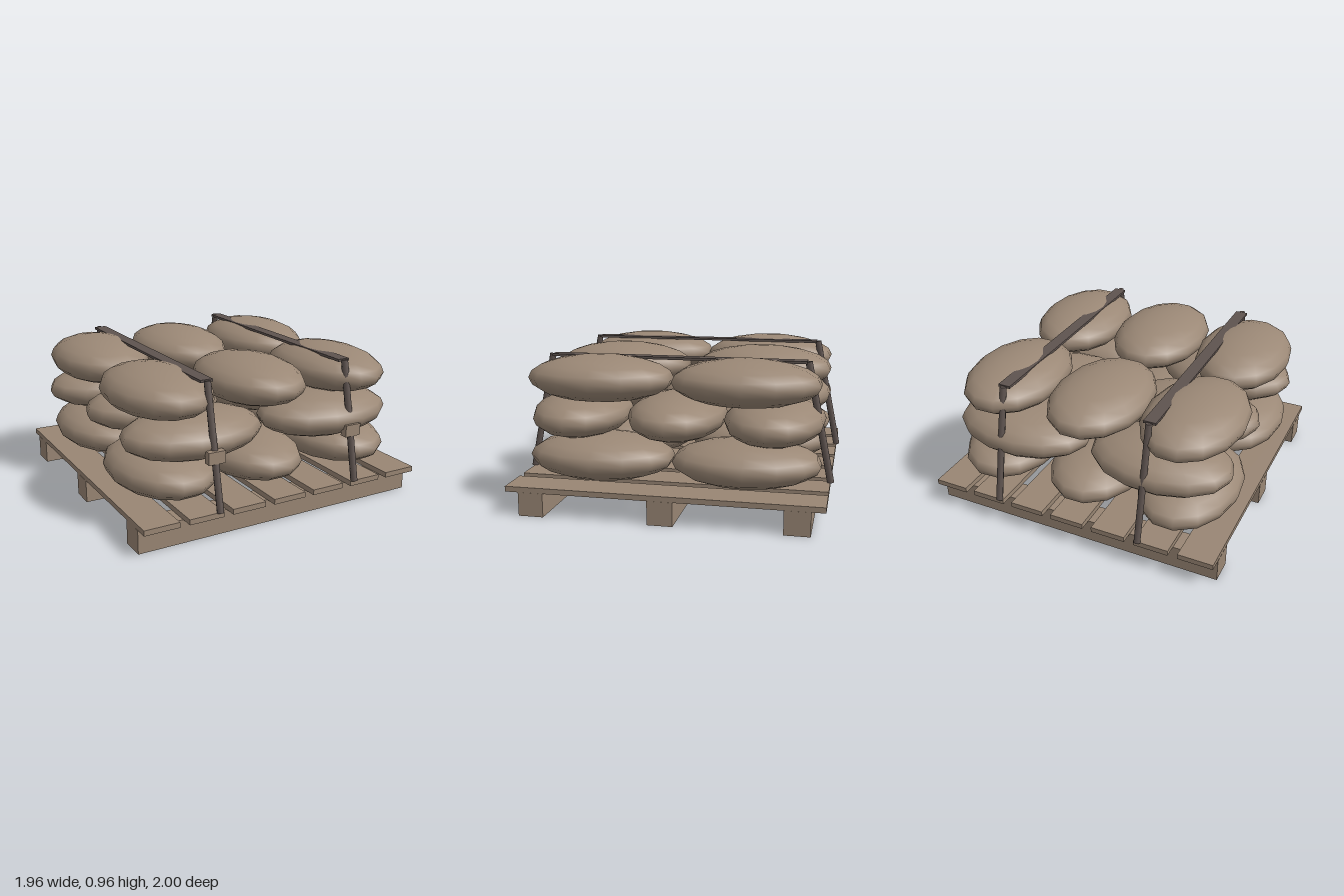
import * as THREE from 'three';

export function createModel() {
  const model = new THREE.Group();
  const mat = (name, color) => {
    const m = new THREE.MeshStandardMaterial({ color });
    m.name = name;
    return m;
  };
  const wood = mat('wood', 0x998674);
  const burlap = mat('burlap', 0x9b8876);
  const strapDark = mat('dark strap', 0x5e534f);

  const add = (name, geometry, material, x, y, z, parent = model) => {
    const mesh = new THREE.Mesh(geometry, material);
    mesh.name = name;
    mesh.position.set(x, y, z);
    parent.add(mesh);
    return mesh;
  };

  // Pallet: three runners across, seven deck slats front to back
  const pallet = new THREE.Group();
  pallet.name = 'pallet';
  model.add(pallet);
  const runner = new THREE.BoxGeometry(1.956, 0.15, 0.158);
  for (const z of [-0.815, 0, 0.815]) add('runner', runner, wood, 0, 0.075, z, pallet);
  const slat = new THREE.BoxGeometry(0.226, 0.034, 1.956);
  for (let i = -3; i <= 3; i++) add('deckSlat', slat, wood, i * 0.288, 0.167, 0, pallet);

  // Sacks: squashed spheres, the middle layer turned crosswise: [x, z, yaw]
  const lengthwise = new THREE.SphereGeometry(1, 14, 10).scale(0.315, 0.147, 0.466);
  const crosswise = new THREE.SphereGeometry(1, 14, 10).scale(0.466, 0.147, 0.315);
  const layers = [
    { name: 'bottomSack', y: 0.328, geometry: lengthwise, sacks: [
      [-0.635, 0.455, 0.04], [-0.01, 0.46, 0], [0.64, 0.45, 0.03],
      [-0.635, -0.465, -0.03], [-0.01, -0.465, 0.02], [0.635, -0.47, 0.05]] },
    { name: 'middleSack', y: 0.568, geometry: crosswise, sacks: [
      [-0.475, 0.6, 0.04], [0.47, 0.625, 0.03],
      [-0.45, -0.01, 0], [0.455, 0, 0.02],
      [-0.485, -0.615, -0.03], [0.47, -0.625, -0.04]] },
    { name: 'topSack', y: 0.817, geometry: lengthwise, sacks: [
      [-0.638, 0.445, 0.03], [-0.01, 0.48, 0], [0.603, 0.465, 0.04],
      [-0.642, -0.458, -0.03], [-0.022, -0.483, 0], [0.605, -0.458, 0.03]] },
  ];
  for (const { name, y, geometry, sacks } of layers) {
    for (const [x, z, yaw] of sacks) add(name, geometry, burlap, x, y, z).rotation.y = yaw;
  }

  // Straps: flat band over the top, sloping rod at each end, buckle in front
  const low = new THREE.Vector3(0, 0.183, 0.98);
  const high = new THREE.Vector3(0, 0.94, 0.823);
  const slope = high.clone().sub(low);
  const rod = new THREE.CylinderGeometry(0.022, 0.022, slope.length(), 8);
  const band = new THREE.BoxGeometry(0.08, 0.016, 1.63);
  const buckle = new THREE.BoxGeometry(0.11, 0.076, 0.052);
  for (const x of [-0.49, 0.487]) {
    const strap = new THREE.Group();
    strap.name = 'strap';
    strap.position.x = x;
    model.add(strap);
    add('topBand', band, strapDark, 0, 0.938, 0, strap);
    for (const side of [-1, 1]) {
      const end = add('strapRod', rod, strapDark, 0, (low.y + high.y) / 2, side * (low.z + high.z) / 2, strap);
      end.rotation.x = side * Math.atan2(slope.z, slope.y);
    }
    add('buckle', buckle, wood, 0, 0.511, 0.918, strap);
  }

  return model;
}
